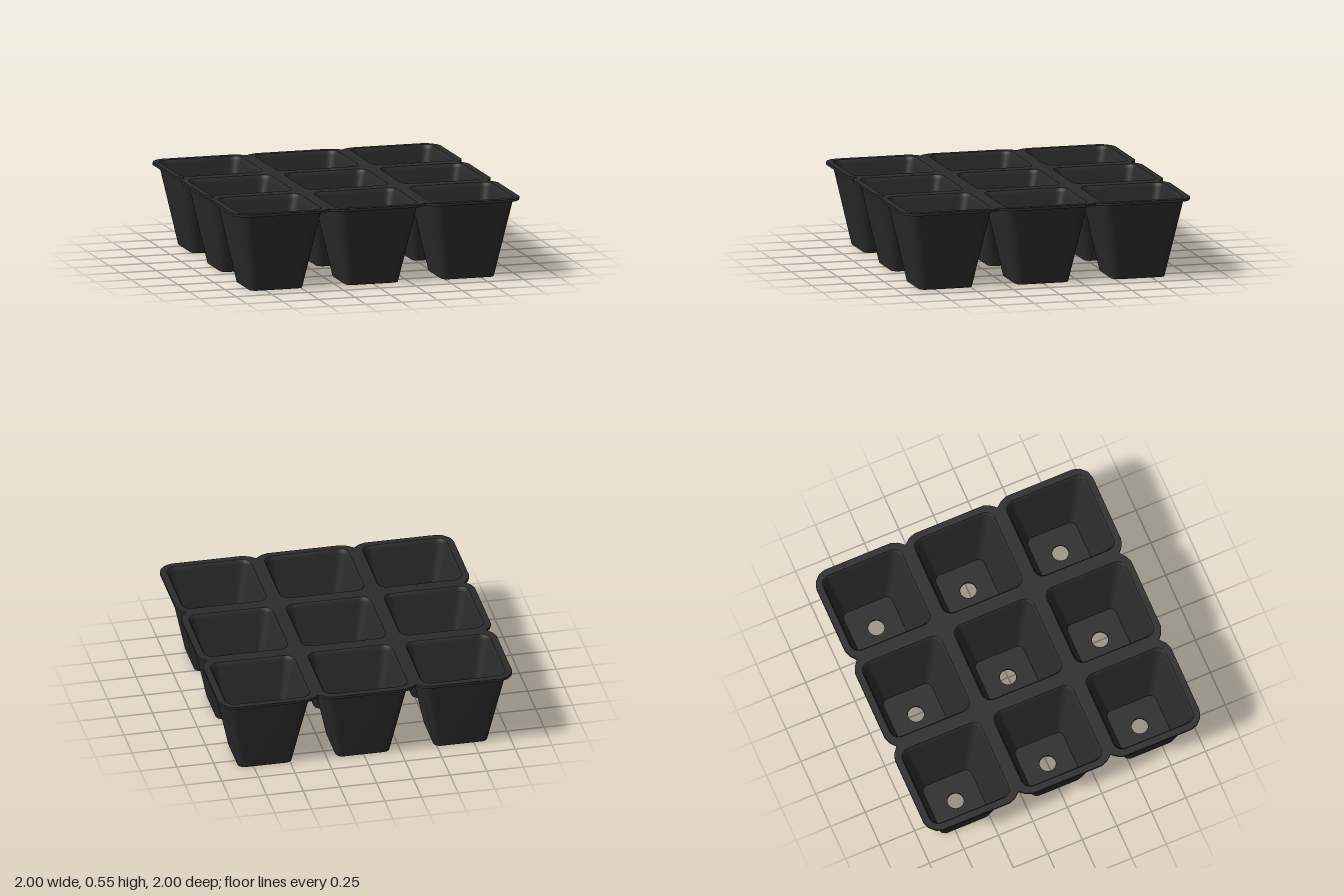
import * as THREE from 'three';
import { mergeGeometries } from 'three/addons/utils/BufferGeometryUtils.js';

const PITCH = 2 / 3, SEG = 5, COUNT = 4 * (SEG + 1);
const RIM_LOW = 0.53, RIM_TOP = 0.548;

// Outline of a square with rounded corners, as [x, z] pairs
function roundedSquare(half, radius) {
  const points = [];
  for (let q = 0; q < 4; q++) {
    const mid = (q + 0.5) * Math.PI / 2;
    const cx = Math.sign(Math.cos(mid)) * (half - radius);
    const cz = Math.sign(Math.sin(mid)) * (half - radius);
    for (let k = 0; k <= SEG; k++) {
      const a = (q + k / SEG) * Math.PI / 2;
      points.push([cx + radius * Math.cos(a), cz + radius * Math.sin(a)]);
    }
  }
  return points;
}

// Circle with matching point count, lined up with the square's corners
function circle(radius) {
  return Array.from({ length: COUNT }, (_, i) => {
    const a = Math.PI / 4 + (i - SEG / 2) * 2 * Math.PI / COUNT;
    return [radius * Math.cos(a), radius * Math.sin(a)];
  });
}

// Smooth closed band through a series of rings
function loft(rings) {
  const positions = [], index = [];
  for (const { points, y } of rings) for (const [x, z] of points) positions.push(x, y, z);
  for (let r = 0; r < rings.length - 1; r++) {
    for (let i = 0; i < COUNT; i++) {
      const j = (i + 1) % COUNT, lo = r * COUNT, hi = lo + COUNT;
      index.push(lo + i, hi + i, lo + j, hi + i, hi + j, lo + j);
    }
  }
  const geometry = new THREE.BufferGeometry();
  geometry.setAttribute('position', new THREE.Float32BufferAttribute(positions, 3));
  geometry.setIndex(index);
  geometry.computeVertexNormals();
  return geometry;
}

// Thin-walled tapered cup with a drain hole in its floor
function cupGeometry() {
  const square = (half, radius, y) => ({ points: roundedSquare(half, radius), y });
  const hole = y => ({ points: circle(0.055), y });
  const floor = 0.015;
  return mergeGeometries([
    loft([hole(0), square(0.183, 0.045, 0)]),
    loft([square(0.183, 0.045, 0), square(0.186, 0.047, 0.012), square(0.29, 0.065, RIM_LOW + 0.002)]),
    loft([square(0.288, 0.065, RIM_TOP), square(0.28, 0.06, RIM_TOP - 0.008),
      square(0.274, 0.058, RIM_TOP - 0.03), square(0.175, 0.04, floor)]),
    loft([square(0.175, 0.04, floor), hole(floor)]),
    loft([hole(floor), hole(0)]),
  ]);
}

// Flat rim plate, scalloped between cells, with one opening per cell
function rimGeometry(centres) {
  const side = [[-0.9, 1]];
  for (const c of [-PITCH / 2, PITCH / 2]) {
    side.push([c - 0.085, 1], [c - 0.04, 0.983], [c, 0.95], [c + 0.04, 0.983], [c + 0.085, 1]);
  }
  side.push([0.9, 1], [0.945, 0.985], [0.985, 0.945]);
  const outline = [];
  for (let s = 0; s < 4; s++) {
    for (let [x, y] of side) {
      for (let t = 0; t < s; t++) [x, y] = [y, -x];
      outline.push(new THREE.Vector2(x, y));
    }
  }
  const shape = new THREE.Shape(outline);
  for (const [cx, cz] of centres) {
    shape.holes.push(new THREE.Path(
      roundedSquare(0.288, 0.065).map(([x, z]) => new THREE.Vector2(cx + x, z - cz))));
  }
  return new THREE.ExtrudeGeometry(shape, { depth: RIM_TOP - RIM_LOW, bevelEnabled: false })
    .rotateX(-Math.PI / 2).translate(0, RIM_LOW, 0);
}

export function createModel() {
  const group = new THREE.Group();
  group.name = 'seedlingTray';
  const plastic = new THREE.MeshStandardMaterial({ color: 0x2b2b2b });
  plastic.name = 'blackPlastic';

  const centres = [];
  for (const x of [-PITCH, 0, PITCH]) for (const z of [-PITCH, 0, PITCH]) centres.push([x, z]);

  const rim = new THREE.Mesh(rimGeometry(centres), plastic);
  rim.name = 'rim';
  group.add(rim);

  const cup = cupGeometry();
  centres.forEach(([x, z], i) => {
    const mesh = new THREE.Mesh(cup, plastic);
    mesh.name = `cup${i + 1}`;
    mesh.position.set(x, 0, z);
    group.add(mesh);
  });
  return group;
}
